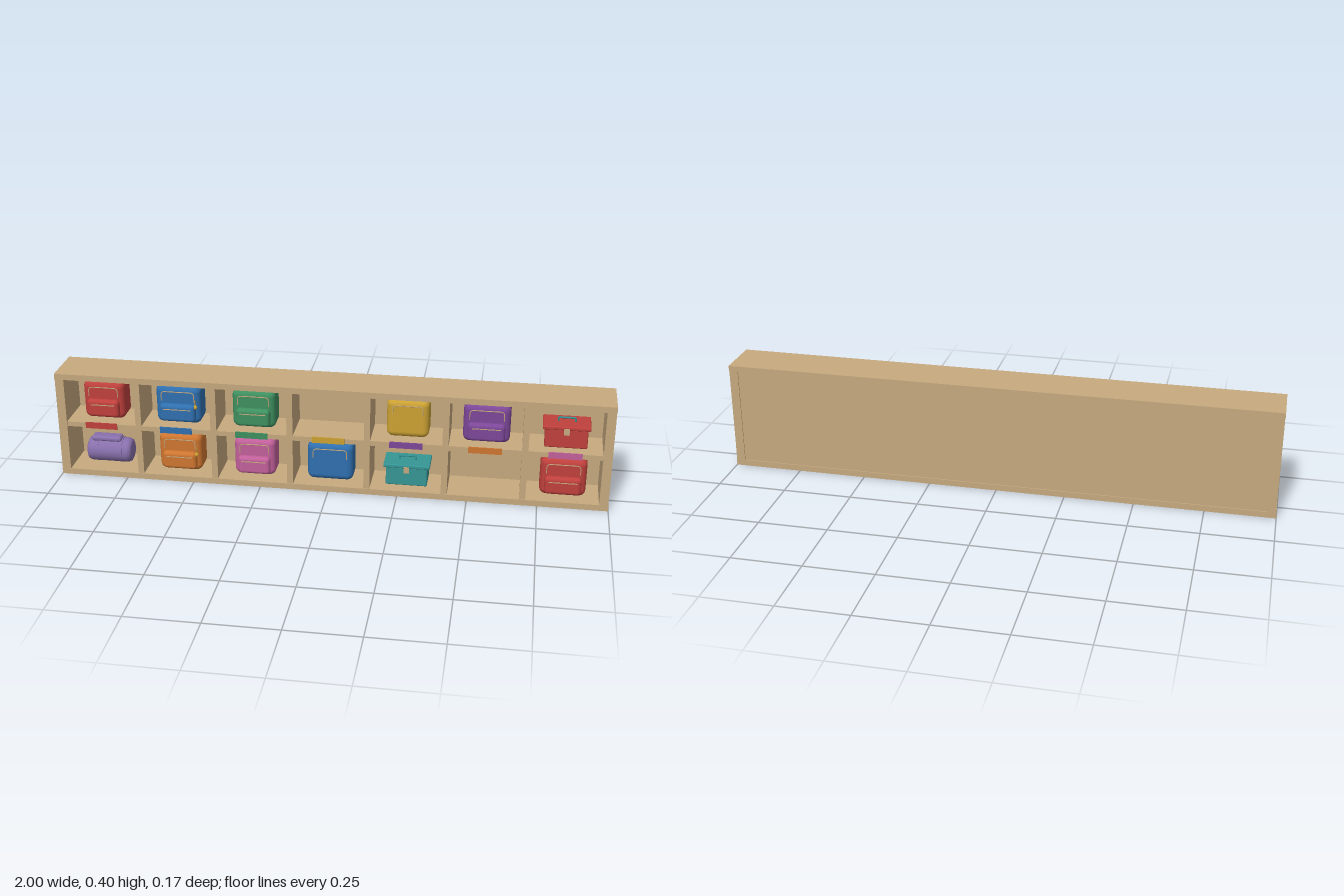
import * as THREE from 'three';
import { RoundedBoxGeometry } from 'three/addons/geometries/RoundedBoxGeometry.js';

const mat = (name, color) => {
  const m = new THREE.MeshStandardMaterial({ color });
  m.name = name;
  return m;
};

export function createModel() {
  const M = {
    wood: mat('wood', 0xc6a97e), red: mat('red', 0xbf403c), blue: mat('blue', 0x2f70b0),
    green: mat('green', 0x3f9060), yellow: mat('yellow', 0xcca233), purple: mat('purple', 0x7d4799),
    orange: mat('orange', 0xcf7630), pink: mat('pink', 0xc2609b), teal: mat('teal', 0x359694),
    lavender: mat('lavender', 0x8870ac),
  };
  const root = new THREE.Group();
  root.name = 'cubbyShelf';

  const add = (parent, name, geo, m, x = 0, y = 0, z = 0) => {
    const mesh = new THREE.Mesh(geo, m);
    mesh.name = name;
    mesh.position.set(x, y, z);
    parent.add(mesh);
    return mesh;
  };
  const box = (w, h, d) => new THREE.BoxGeometry(w, h, d);
  const soft = (w, h, d, r) => new RoundedBoxGeometry(w, h, d, 4, r);

  // Tube along rounded arch: two legs and a crossbar, standing on y = 0
  const arch = (w, h, r, tube) => {
    const path = new THREE.CurvePath();
    const a = w / 2, v = (x, y) => new THREE.Vector3(x, y, 0);
    path.add(new THREE.LineCurve3(v(-a, 0), v(-a, h - r)));
    path.add(new THREE.QuadraticBezierCurve3(v(-a, h - r), v(-a, h), v(-a + r, h)));
    path.add(new THREE.LineCurve3(v(-a + r, h), v(a - r, h)));
    path.add(new THREE.QuadraticBezierCurve3(v(a - r, h), v(a, h), v(a, h - r)));
    path.add(new THREE.LineCurve3(v(a, h - r), v(a, 0)));
    return new THREE.TubeGeometry(path, 40, tube, 6);
  };

  // Cabinet carcass
  const pitch = 0.279, floorY = [0.022, 0.212];
  const cabinet = new THREE.Group();
  cabinet.name = 'cabinet';
  root.add(cabinet);
  add(cabinet, 'topBoard', box(2, 0.022, 0.17), M.wood, 0, 0.389, 0);
  add(cabinet, 'bottomBoard', box(2, 0.022, 0.17), M.wood, 0, 0.011, 0);
  add(cabinet, 'backPanel', box(1.94, 0.356, 0.01), M.wood, 0, 0.2, -0.076);
  add(cabinet, 'middleShelf', box(1.94, 0.018, 0.15), M.wood, 0, 0.203, 0.006);
  for (const s of [-1, 1]) add(cabinet, 'sidePanel', box(0.032, 0.356, 0.169), M.wood, s * 0.983, 0.2, 0);
  for (let i = -3; i < 3; i++) {
    add(cabinet, 'divider', box(0.022, 0.356, 0.153), M.wood, (i + 0.5) * pitch, 0.2, 0.0055);
  }

  // Coloured labels along the shelf edge
  ['red', 'blue', 'green', 'yellow', 'purple', 'orange', 'pink'].forEach((c, i) =>
    add(cabinet, 'label', box(0.118, 0.023, 0.004), M[c], (i - 3) * pitch, 0.204, 0.083));

  const place = (name, col, row) => {
    const g = new THREE.Group();
    g.name = name;
    g.position.set((col - 3) * pitch, floorY[row], -0.012);
    root.add(g);
    return g;
  };

  // Backpack with top handle, zips, optional front pocket and charm
  const backpack = (col, row, color, w, pocket, charm) => {
    const g = place('backpack', col, row), m = M[color], h = 0.146;
    add(g, 'bagBody', soft(w, h, 0.1, 0.024), m, 0, h / 2, 0);
    add(g, 'bagHandle', arch(0.052, 0.018, 0.01, 0.004), m, 0, h - 0.004, 0);
    add(g, 'mainZip', arch(w - 0.045, 0.035, 0.014, 0.0018), M.wood, 0, h - 0.057, 0.0505);
    if (pocket) {
      add(g, 'frontPocket', soft(w - 0.034, 0.068, 0.036, 0.014), m, 0, 0.046, 0.05);
      add(g, 'pocketZip', box(w - 0.064, 0.003, 0.003), M.wood, 0, 0.062, 0.068);
    }
    for (const s of [-1, 1]) {
      add(g, 'shoulderStrap', soft(0.022, 0.11, 0.008, 0.003), m, s * 0.035, 0.075, -0.052);
    }
    if (charm) {
      add(g, 'charmCord', box(0.002, 0.022, 0.003), M.yellow, w / 2 - 0.018, 0.086, 0.052);
      add(g, 'charm', new THREE.SphereGeometry(0.008, 14, 10), M.yellow, w / 2 - 0.018, 0.07, 0.054);
    }
  };
  backpack(0, 1, 'red', 0.153, true, false);
  backpack(1, 1, 'blue', 0.166, true, true);
  backpack(2, 1, 'green', 0.158, true, false);
  backpack(4, 1, 'yellow', 0.152, false, false);
  backpack(5, 1, 'purple', 0.166, true, false);
  backpack(1, 0, 'orange', 0.16, true, true);
  backpack(2, 0, 'pink', 0.152, true, false);
  backpack(3, 0, 'blue', 0.168, false, false);
  backpack(6, 0, 'red', 0.164, true, false);

  // Lunch box with overhanging lid, latch and handle
  const lunchBox = (col, row, color) => {
    const g = place('lunchBox', col, row), m = M[color];
    add(g, 'boxBody', soft(0.15, 0.072, 0.096, 0.005), m, 0, 0.036, 0);
    add(g, 'boxLid', soft(0.168, 0.014, 0.104, 0.004), m, 0, 0.076, 0);
    add(g, 'latch', box(0.02, 0.024, 0.006), M.wood, 0, 0.064, 0.052);
    add(g, 'boxHandle', arch(0.06, 0.016, 0.006, 0.0035), M.teal, 0, 0.081, 0);
  };
  lunchBox(6, 1, 'red');
  lunchBox(4, 0, 'teal');

  // Duffel bag: rounded barrel with bands and a padded carry grip
  const duffel = place('duffelBag', 0, 0);
  const profile = [[0, -0.086], [0.03, -0.085], [0.041, -0.08], [0.046, -0.068],
    [0.046, 0.068], [0.041, 0.08], [0.03, 0.085], [0, 0.086]].map(([r, y]) => new THREE.Vector2(r, y));
  add(duffel, 'duffelBody', new THREE.LatheGeometry(profile, 32), M.lavender, 0, 0.046, 0).rotation.z = Math.PI / 2;
  for (const x of [-0.045, 0.045]) {
    const band = new THREE.CylinderGeometry(0.0475, 0.0475, 0.012, 32);
    add(duffel, 'duffelBand', band, M.lavender, x, 0.047, 0).rotation.z = Math.PI / 2;
  }
  add(duffel, 'duffelGrip', soft(0.112, 0.02, 0.045, 0.009), M.lavender, -0.01, 0.095, 0.005);

  return root;
}
